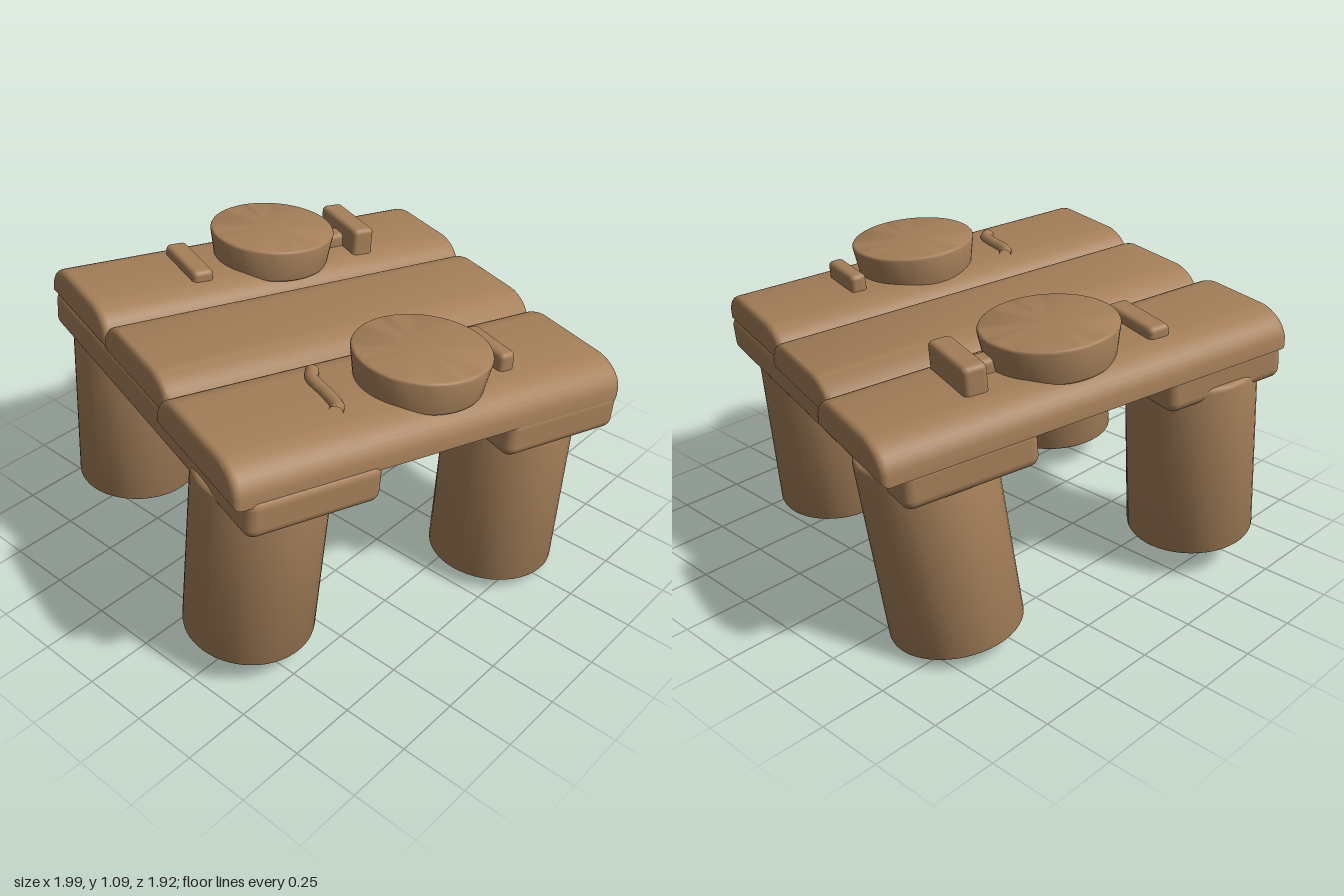
import * as THREE from 'three';
import { toCreasedNormals } from 'three/addons/utils/BufferGeometryUtils.js';
import { RoundedBoxGeometry } from 'three/addons/geometries/RoundedBoxGeometry.js';

const wood = new THREE.MeshStandardMaterial({ color: 0xa57f59 });
wood.name = 'brown wood';

function add(parent, name, geometry, x = 0, y = 0, z = 0) {
  const mesh = new THREE.Mesh(geometry, wood);
  mesh.name = name;
  mesh.position.set(x, y, z);
  parent.add(mesh);
  return mesh;
}

// Plank running along x with a domed top and softened ends
function plankGeometry(length, width, height) {
  const b = 0.025, w = width / 2 - b, h = height - 2 * b;
  const shape = new THREE.Shape();
  shape.moveTo(-w, 0);
  shape.lineTo(w, 0);
  shape.lineTo(w, 0.015);
  shape.quadraticCurveTo(w - 0.015, h - 0.012, w - 0.1, h);
  shape.lineTo(-w + 0.1, h);
  shape.quadraticCurveTo(-w + 0.015, h - 0.012, -w, 0.015);
  const depth = length - 2 * b;
  const g = new THREE.ExtrudeGeometry(shape, {
    depth, bevelEnabled: true, bevelSize: b, bevelThickness: b, bevelSegments: 4, curveSegments: 8,
  });
  g.translate(0, b, -depth / 2);
  g.rotateY(Math.PI / 2);
  return toCreasedNormals(g, 0.7);
}

// Solid of revolution with a rounded rim at both ends
function roundGeometry(rBottom, rTop, height, bevel) {
  const pts = [new THREE.Vector2(0, 0)];
  for (let i = 0; i <= 4; i++) {
    const a = (i / 4) * Math.PI / 2;
    pts.push(new THREE.Vector2(rBottom - bevel + bevel * Math.sin(a), bevel - bevel * Math.cos(a)));
  }
  for (let i = 0; i <= 4; i++) {
    const a = (i / 4) * Math.PI / 2;
    pts.push(new THREE.Vector2(rTop - bevel + bevel * Math.cos(a), height - bevel + bevel * Math.sin(a)));
  }
  pts.push(new THREE.Vector2(0, height));
  return toCreasedNormals(new THREE.LatheGeometry(pts, 48), 0.7);
}

export function createModel() {
  const model = new THREE.Group();
  model.name = 'table';

  // Turned and gently tilted tabletop
  const top = new THREE.Group();
  top.name = 'tabletop';
  top.rotation.set(0, -0.283, -0.09, 'YXZ');
  top.position.y = 0.9;
  model.add(top);

  // Planks: start and end along x, start and end along z
  const planks = [
    [-0.78, 0.81, -0.785, -0.275],
    [-0.785, 0.765, -0.285, 0.24],
    [-0.825, 0.735, 0.23, 0.785],
  ];
  for (const [x0, x1, z0, z1] of planks) {
    add(top, 'plank', plankGeometry(x1 - x0, z1 - z0, 0.135), (x0 + x1) / 2, -0.06, (z0 + z1) / 2);
  }

  // Two cross beams under the planks
  for (const [x, z] of [[-0.53, 0.015], [0.49, 0.005]]) {
    add(top, 'crossBeam', new RoundedBoxGeometry(0.5, 0.15, 1.56, 4, 0.04), x, -0.11, z);
  }

  // Round plates, wider at the rim
  for (const [x, z] of [[0.036, -0.52], [0.018, 0.526]]) {
    add(top, 'roundPlate', roundGeometry(0.225, 0.243, 0.135, 0.012), x, 0.05, z);
  }

  // Small bars beside the plates: x, z, width, length, height above the planks, turn
  const bars = [
    [0.383, -0.508, 0.09, 0.28, 0.1, -0.05],
    [-0.32, -0.53, 0.085, 0.28, 0.04, -0.05],
    [0.32, 0.515, 0.065, 0.23, 0.065, 0],
  ];
  for (const [x, z, w, l, h, turn] of bars) {
    const bar = add(top, 'bar', new RoundedBoxGeometry(w, h + 0.05, l, 4, 0.02), x, 0.05 + (h - 0.05) / 2 + 0.025, z);
    bar.rotation.y = turn;
  }
  add(top, 'barLink', new RoundedBoxGeometry(0.12, 0.08, 0.08, 3, 0.02), 0.3, 0.085, -0.5);

  // Low curved ridge beside the front plate
  const ridge = new THREE.CatmullRomCurve3([
    [-0.3, 0.35], [-0.33, 0.4], [-0.335, 0.5], [-0.345, 0.58], [-0.37, 0.61],
  ].map(([x, z]) => new THREE.Vector3(x, 0.075, z)));
  add(top, 'curvedRidge', new THREE.TubeGeometry(ridge, 20, 0.025, 10));

  // Legs: foot centre and head centre
  const legs = [
    ['frontRightLeg', [-0.73, 0.11, 0.26], [-0.68, 0.82, 0.31]],
    ['frontLeftLeg', [0.25, 0.04, 0.615], [0.315, 0.75, 0.615]],
    ['backRightLeg', [-0.42, 0.135, -0.69], [-0.37, 0.82, -0.68]],
    ['backLeftLeg', [0.595, 0.05, -0.44], [0.65, 0.74, -0.34]],
  ];
  for (const [name, foot, head] of legs) {
    const a = new THREE.Vector3(...foot), dir = new THREE.Vector3(...head).sub(a);
    const leg = add(model, name, roundGeometry(0.238, 0.238, dir.length(), 0.02), ...foot);
    leg.quaternion.setFromUnitVectors(new THREE.Vector3(0, 1, 0), dir.normalize());
  }
  return model;
}
